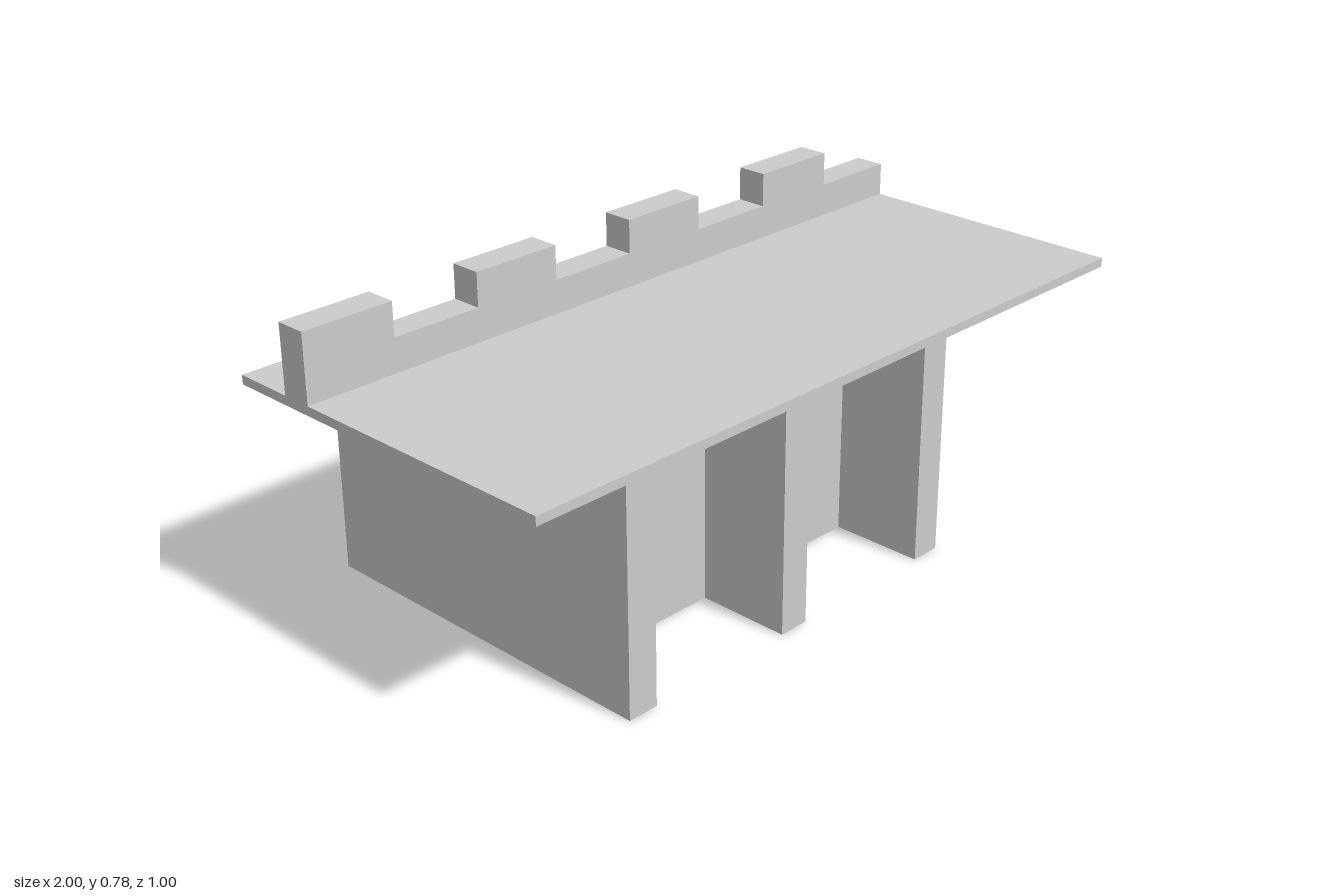
import * as THREE from 'three';

export function createModel() {
  const model = new THREE.Group();
  const stone = new THREE.MeshStandardMaterial({ color: 0xcccccc });
  stone.name = 'light grey';

  // Box between two corners: x, y and z ranges
  function block(name, [x0, x1], [y0, y1], [z0, z1], parent = model) {
    const mesh = new THREE.Mesh(new THREE.BoxGeometry(x1 - x0, y1 - y0, z1 - z0), stone);
    mesh.position.set((x0 + x1) / 2, (y0 + y1) / 2, (z0 + z1) / 2);
    mesh.name = name;
    parent.add(mesh);
  }

  const T = 1 / 12; // wall thickness
  const wallY = [0, 0.577];
  const slabTop = 0.601;
  const parapetTop = 0.69;
  const merlonTop = 0.78;
  const backZ = [-0.25 - T, -0.25];

  // Flat deck
  block('deck', [-1, 1], [wallY[1], slabTop], [-0.5, 0.5]);

  // Battlement: low parapet with four merlons
  const battlement = new THREE.Group();
  battlement.name = 'battlement';
  model.add(battlement);
  block('parapet', [-1, 1], [slabTop, parapetTop], backZ, battlement);
  for (let i = 0; i < 4; i++) {
    const x = -1 + i * 0.5;
    block('merlon', [x, x + 0.25], [parapetTop, merlonTop], backZ, battlement);
  }

  // Walls below the deck
  const walls = new THREE.Group();
  walls.name = 'walls';
  model.add(walls);
  block('sideWall', [-0.75, -0.75 + T], wallY, [-0.5, 0.5], walls);
  block('backWall', [-0.75 + T, 0.75], wallY, backZ, walls);
  block('frontWall', [-0.5, 0.5], wallY, [0.25 - T, 0.25], walls);

  // Cross walls, open in the middle as a corridor
  for (const x of [-0.25, 0.25]) {
    block('frontCrossWall', [x, x + T], wallY, [0.25, 0.5], walls);
    block('backCrossWall', [x, x + T], wallY, [-0.25, 0], walls);
  }
  return model;
}
